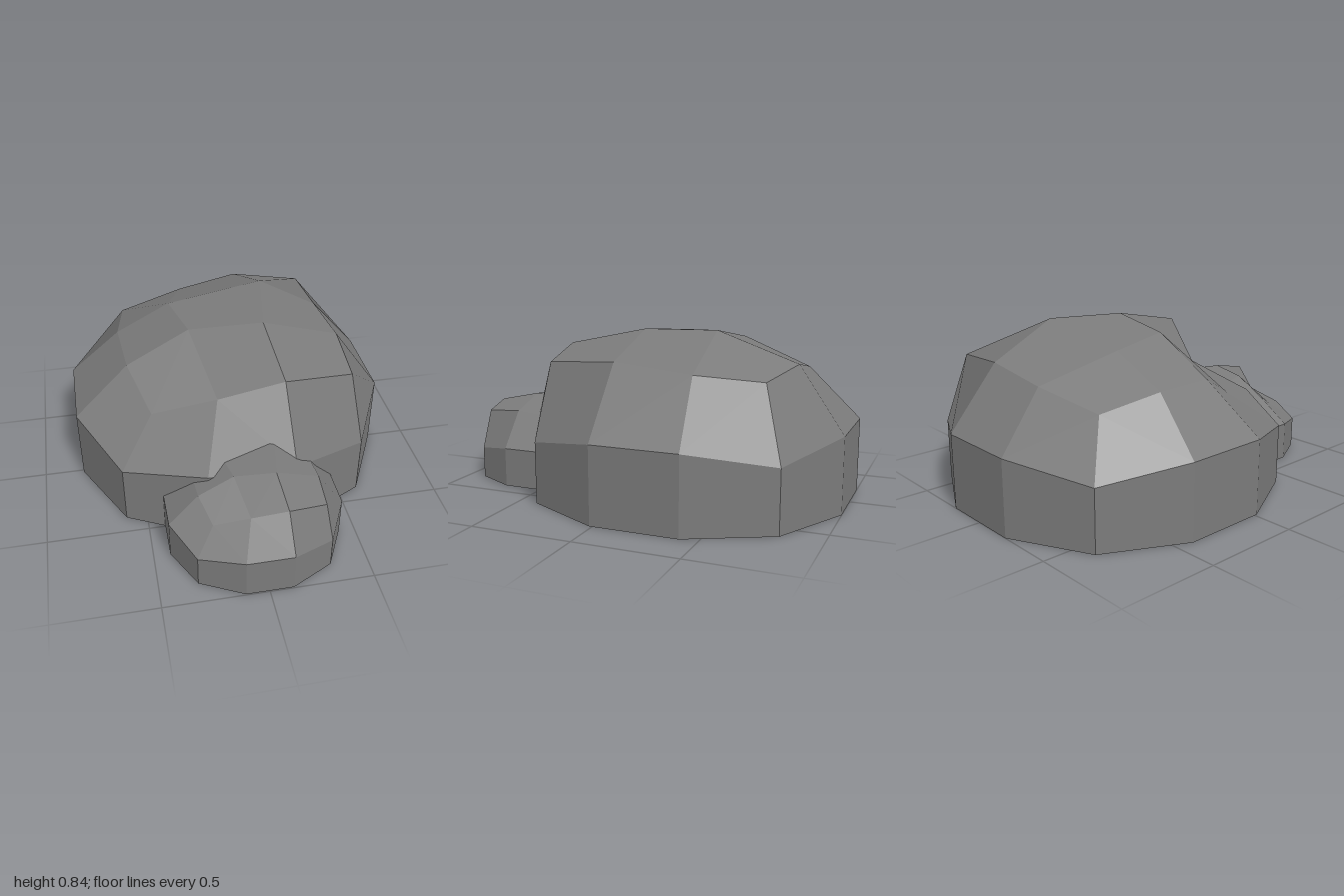
import * as THREE from 'three';

// Crown of the rock: four inner points, then the shoulder ring, as [x, y, z].
const V = (p) => new THREE.Vector3(...p);
const crown = [[0.17, 0.825, 0.21], [0.24, 0.84, -0.19], [-0.26, 0.76, -0.18], [-0.2, 0.79, 0.15]].map(V);
const shoulder = [
  [0.19, 0.74, 0.61], [0.54, 0.69, 0.54], [0.56, 0.71, 0.2], [0.55, 0.67, -0.18],
  [0.53, 0.655, -0.51], [0.17, 0.69, -0.57], [-0.15, 0.635, -0.55], [-0.49, 0.57, -0.48],
  [-0.54, 0.62, -0.17], [-0.52, 0.615, 0.15], [-0.43, 0.48, 0.4], [-0.11, 0.575, 0.47],
].map(V);

function rockGeometry() {
  const pos = [], nor = [];
  const tri = (normal, ...corners) => corners.forEach((p) => {
    pos.push(p.x, p.y, p.z);
    nor.push(normal.x, normal.y, normal.z);
  });
  // Each four-sided facet has one flat shade and is split along its shorter diagonal.
  const quad = (a, b, c, d) => {
    const ac = c.clone().sub(a), bd = d.clone().sub(b);
    const n = ac.clone().cross(bd).normalize();
    if (ac.length() < bd.length()) {
      tri(n, a, b, c);
      tri(n, a, c, d);
    } else {
      tri(n, a, b, d);
      tri(n, b, c, d);
    }
  };

  // Twelve-sided foot and rim; the four diagonal corners dip lower.
  const foot = [], rim = [];
  for (let k = 0; k < 12; k++) {
    const corner = k % 3 === 1;
    const t = (15 + 30 * k) * Math.PI / 180, r = corner ? 0.853 : 0.828;
    const x = r * Math.sin(t), z = r * Math.cos(t);
    foot.push(new THREE.Vector3(x, 0, z));
    rim.push(new THREE.Vector3(x, corner ? 0.305 : 0.375, z));
  }

  // Upright wall, sloping shoulder and flat base
  const centre = new THREE.Vector3(), down = new THREE.Vector3(0, -1, 0);
  for (let k = 0; k < 12; k++) {
    const n = (k + 1) % 12;
    quad(foot[k], foot[n], rim[n], rim[k]);
    quad(rim[k], rim[n], shoulder[n], shoulder[k]);
    tri(down, centre, foot[n], foot[k]);
  }

  // Top patch: a corner and an edge facet for each side, then the centre
  for (let i = 0; i < 4; i++) {
    const s = (j) => shoulder[(3 * i + j) % 12];
    quad(s(0), s(1), s(2), crown[i]);
    quad(crown[i], s(2), s(3), crown[(i + 1) % 4]);
  }
  quad(...crown);

  const geo = new THREE.BufferGeometry();
  geo.setAttribute('position', new THREE.Float32BufferAttribute(pos, 3));
  geo.setAttribute('normal', new THREE.Float32BufferAttribute(nor, 3));
  return geo;
}

export function createModel() {
  const group = new THREE.Group();
  group.name = 'rocks';
  const geo = rockGeometry();
  const mat = new THREE.MeshStandardMaterial({ color: 0x7b7b7b });

  const addRock = (name, scale, y, z) => {
    const rock = new THREE.Mesh(geo, mat);
    rock.name = name;
    rock.scale.setScalar(scale);
    rock.position.set(0, y, z);
    group.add(rock);
  };
  addRock('largeRock', 1, 0, -0.2);
  addRock('smallRock', 0.525, 0.005, 0.58);
  return group;
}
